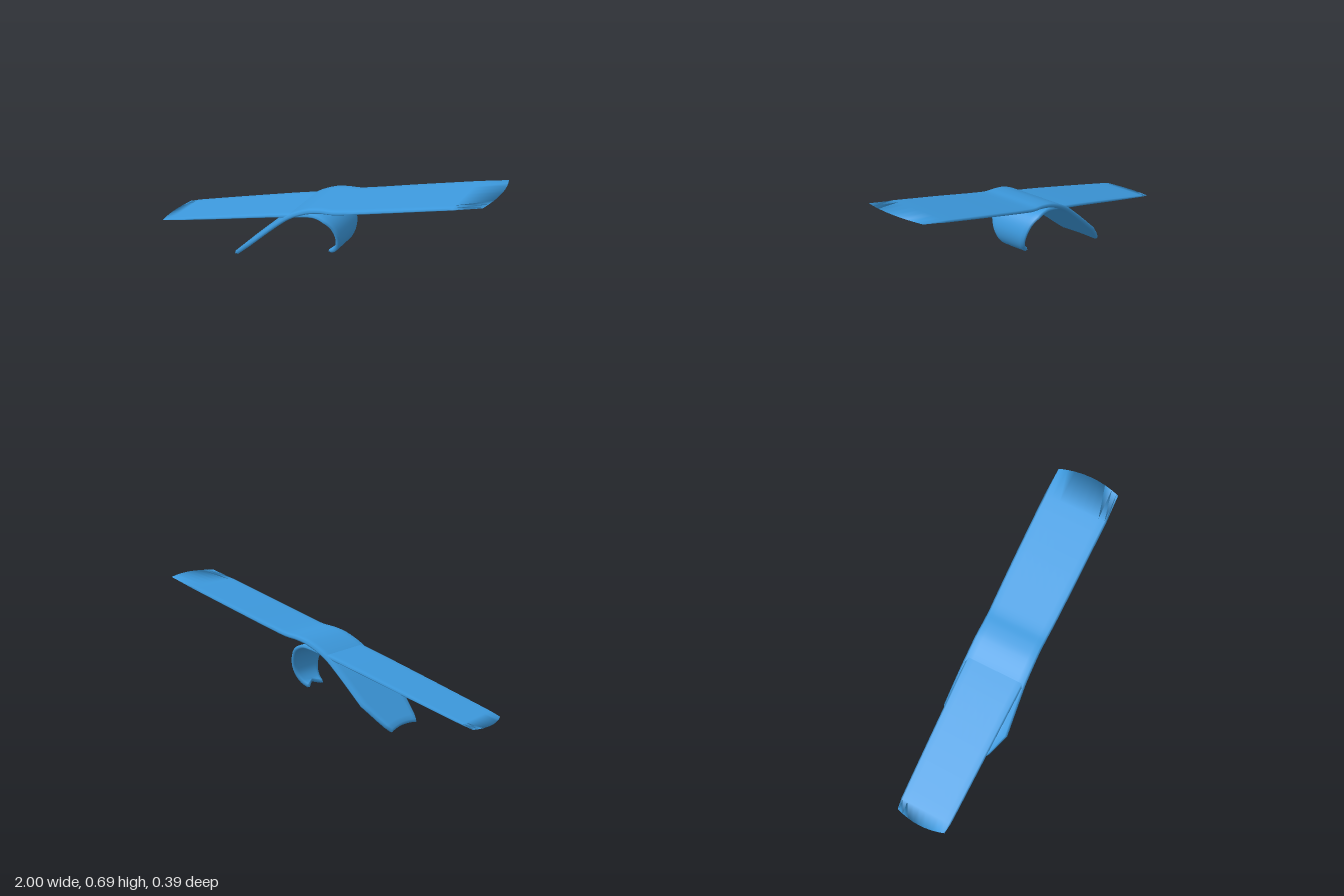
import * as THREE from 'three';
import { mergeVertices } from 'three/addons/utils/BufferGeometryUtils.js';

// Columns across the width, with narrow bevels at both edges
const COLS = [-1, -0.94, -0.75, -0.5, -0.25, 0, 0.25, 0.5, 0.75, 0.94, 1];

// Sweeps a flat bevelled section along stations of
// [x, y, half width, half thickness, end shift].
// Start shifts (+) round the strap tip, end shifts (-) notch the far end.
function sweepBand(stations, endShape, stepsPerSpan) {
  const spans = stations.length - 1;
  const curve = new THREE.CatmullRomCurve3(
    stations.map(([x, y]) => new THREE.Vector3(x, y, 0)));
  const params = [];
  for (let s = 0; s < spans; s++) {
    const steps = s === 0 || s === spans - 1 ? 1 : stepsPerSpan;
    for (let k = 0; k < steps; k++) params.push(s + k / steps);
  }
  params.push(spans);

  const positions = [], index = [];
  const loop = [
    ...COLS.map((u) => [u, 1]),
    ...COLS.slice(1, -1).reverse().map((u) => [u, -1]),
  ];
  for (const p of params) {
    const s = Math.min(Math.floor(p), spans - 1);
    const [w, t, e] = [2, 3, 4].map((k) =>
      THREE.MathUtils.lerp(stations[s][k], stations[s + 1][k], p - s));
    const c = curve.getPoint(p / spans);
    const d = curve.getTangent(p / spans);
    for (const [u, side] of loop) {
      const h = Math.abs(u) === 1 ? 0 : side * t;
      const shift = e * (e > 0 ? u * u : endShape(u));
      positions.push(c.x + d.x * shift - d.y * h, c.y + d.y * shift + d.x * h, u * w);
    }
  }
  const n = loop.length;
  for (let i = 0; i < params.length - 1; i++) {
    for (let j = 0; j < n; j++) {
      const a = i * n + j, b = i * n + (j + 1) % n;
      index.push(a, b, a + n, b, b + n, a + n);
    }
  }
  let geometry = new THREE.BufferGeometry();
  geometry.setAttribute('position', new THREE.Float32BufferAttribute(positions, 3));
  geometry.setIndex(index);
  // Tips close to a single edge, so weld them for soft shading
  geometry = mergeVertices(geometry, 1e-5);
  geometry.computeVertexNormals();
  return geometry;
}

export function createModel() {
  const group = new THREE.Group();
  group.name = 'strapClip';
  const blue = new THREE.MeshStandardMaterial({ color: 0x3d9be0 });
  blue.name = 'blue';

  const add = (name, geometry) => {
    const mesh = new THREE.Mesh(geometry, blue);
    mesh.name = name;
    group.add(mesh);
  };

  // Upper strap running down over the crossing into a flared tongue
  add('upperStrapAndTongue', sweepBand([
    [1.0, 0.695, 0.178, 0, 0.03],
    [0.82, 0.642, 0.185, 0.006, 0],
    [0.5, 0.548, 0.183, 0.008, 0],
    [0.25, 0.474, 0.179, 0.009, 0],
    [0.15, 0.447, 0.176, 0.010, 0],
    [0.08, 0.438, 0.175, 0.011, 0],
    [0.0, 0.418, 0.178, 0.012, 0],
    [-0.11, 0.362, 0.181, 0.012, 0],
    [-0.2, 0.288, 0.187, 0.012, 0],
    [-0.355, 0.143, 0.197, 0.012, 0],
    [-0.49, 0.016, 0.123, 0.012, -0.015],
    [-0.498, 0.008, 0.12, 0, -0.015],
  ], (u) => 1 - u * u, 4));

  // Lower strap running up under the crossing into a tapering hook
  add('lowerStrapAndHook', sweepBand([
    [-1.0, 0.105, 0.142, 0, 0.025],
    [-0.92, 0.129, 0.151, 0.004, 0],
    [-0.6, 0.223, 0.159, 0.007, 0],
    [-0.25, 0.326, 0.167, 0.008, 0],
    [-0.1, 0.367, 0.17, 0.009, 0],
    [0.0, 0.393, 0.171, 0.010, 0],
    [0.045, 0.396, 0.17, 0.010, 0],
    [0.095, 0.375, 0.162, 0.010, 0],
    [0.13, 0.335, 0.138, 0.010, 0],
    [0.148, 0.275, 0.117, 0.010, 0],
    [0.141, 0.22, 0.098, 0.010, 0],
    [0.115, 0.177, 0.08, 0.011, 0],
    [0.08, 0.153, 0.064, 0.011, -0.035],
    [0.073, 0.149, 0.061, 0, -0.035],
  ], (u) => 1 - Math.abs(u), 4));

  return group;
}
